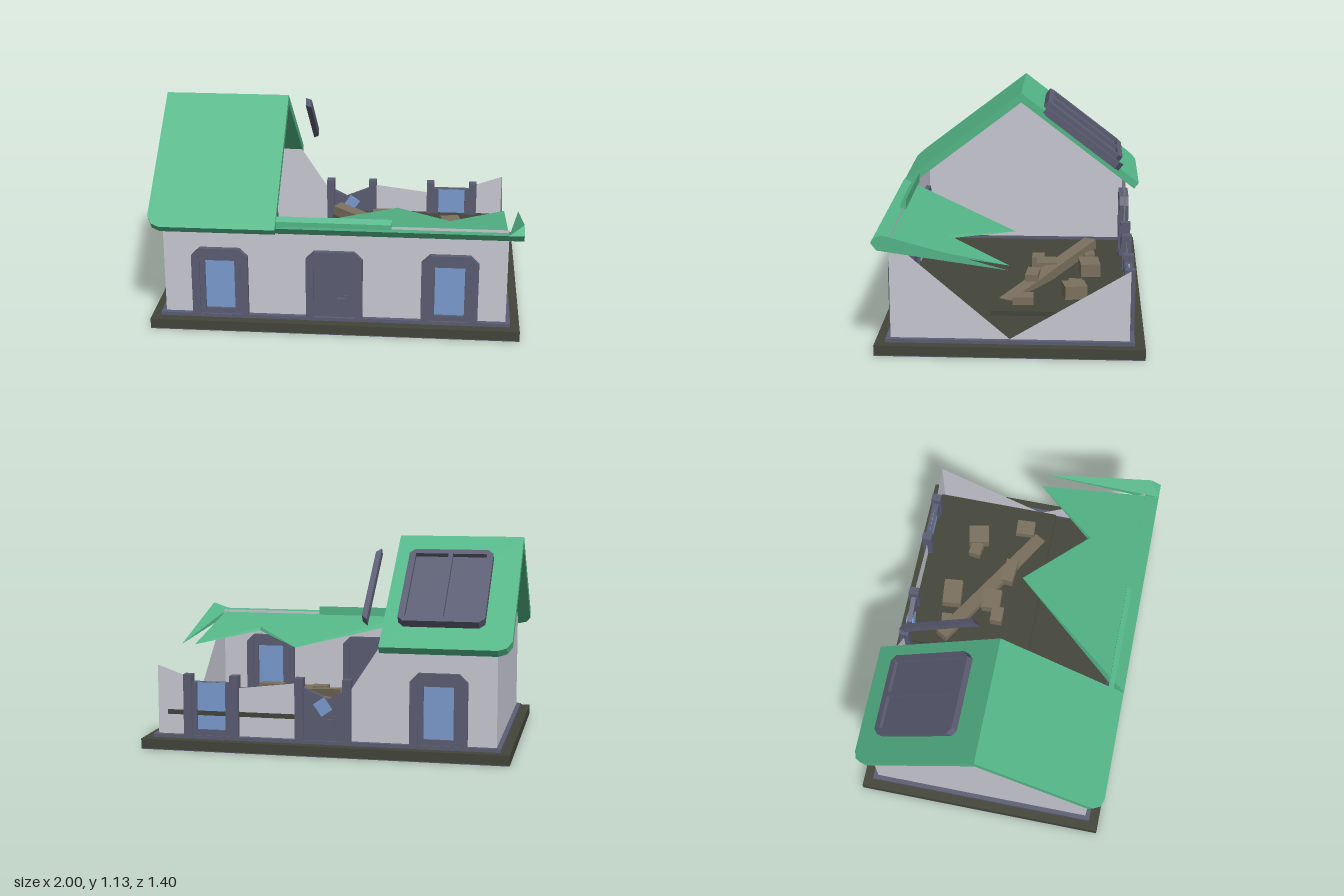
import * as THREE from 'three';
import { ConvexGeometry } from 'three/addons/geometries/ConvexGeometry.js';

export function createModel() {
  const mat = (name, color, side = THREE.FrontSide) => {
    const m = new THREE.MeshStandardMaterial({ color, side, flatShading: true });
    m.name = name;
    return m;
  };
  const wallMat = mat('wall grey', 0xc9c9d3, THREE.DoubleSide);
  const green = mat('roof green', 0x54b788, THREE.DoubleSide);
  const slate = mat('slate trim', 0x5b5d73);
  const olive = mat('dark olive', 0x43453a);
  const blue = mat('glass blue', 0x7b9cd0);
  const wood = mat('rubble brown', 0x7b705e);

  const model = new THREE.Group();
  const add = (parent, name, geo, m, x = 0, y = 0, z = 0) => {
    const mesh = new THREE.Mesh(geo, m);
    mesh.name = name;
    mesh.position.set(x, y, z);
    parent.add(mesh);
    return mesh;
  };
  const box = (parent, name, m, x0, x1, y0, y1, z0, z1) =>
    add(parent, name, new THREE.BoxGeometry(x1 - x0, y1 - y0, z1 - z0), m,
      (x0 + x1) / 2, (y0 + y1) / 2, (z0 + z1) / 2);
  const poly = (pts) => new THREE.Shape(pts.map(([x, y]) => new THREE.Vector2(x, y)));
  const rect = (x0, x1, y0, y1) => [[x0, y0], [x1, y0], [x1, y1], [x0, y1]];
  const extrude = (pts, depth, holes = []) => {
    const shape = poly(pts);
    shape.holes = holes.map((h) => poly(h));
    return new THREE.ExtrudeGeometry(shape, { depth, bevelEnabled: false });
  };
  const hull = (name, pts) =>
    add(model, name, new ConvexGeometry(pts.map((p) => new THREE.Vector3(...p))), green);

  // Base slab, its underside, floor plate and skirting
  box(model, 'baseSlab', olive, -1, 1, 0.004, 0.057, -0.7, 0.7);
  box(model, 'baseUnderside', slate, -1, 1, 0, 0.004, -0.7, 0.7);
  box(model, 'floatingFloor', olive, -0.11, 0.87, 0.185, 0.21, -0.627, 0.105);
  for (const s of [-1, 1]) {
    box(model, 'skirtingLong', slate, -0.95, 0.95, 0.057, 0.076, s * 0.633 - 0.013, s * 0.633 + 0.013);
    box(model, 'skirtingShort', slate, s * 0.937 - 0.013, s * 0.937 + 0.013, 0.057, 0.076, -0.62, 0.62);
  }

  // Thin walls: whole front and left gable, broken back and right
  const wall = (name, pts) => add(model, name, new THREE.ShapeGeometry(poly(pts)), wallMat);
  wall('frontWall', rect(-0.925, 0.925, 0.05, 0.61)).position.z = 0.62;
  wall('backWall', [[-0.925, 0.05], [0.925, 0.05], [0.925, 0.455], [0.77, 0.4], [0.72, 0.1],
    [0.51, 0.1], [0.47, 0.34], [0.14, 0.38], [0.1, 0.1], [-0.1, 0.1], [-0.14, 0.34],
    [-0.31, 0.6], [-0.925, 0.61]]).position.z = -0.62;
  const gable = wall('leftGable', [[-0.62, 0.05], [0.62, 0.05], [0.62, 0.615], [0, 1.085], [-0.62, 0.615]]);
  const right = wall('rightBrokenWall', [[-0.62, 0.05], [0.62, 0.05], [0.62, 0.455], [0, 0.077], [-0.62, 0.61]]);
  gable.rotation.y = right.rotation.y = Math.PI / 2;
  gable.position.x = -0.925;
  right.position.x = 0.925;

  // Facade groups: the back one is turned round, so its x runs the other way
  const front = new THREE.Group();
  front.name = 'frontOpenings';
  const back = new THREE.Group();
  back.name = 'backOpenings';
  back.rotation.y = Math.PI;
  model.add(front, back);

  const surround = (parent, name, x) => {
    const c = 0.045, w = 0.153, t = 0.46;
    add(parent, name, extrude([[-w, 0.057], [w, 0.057], [w, t - c], [w - c, t], [-w + c, t], [-w, t - c]],
      0.056, [rect(-0.11, 0.11, 0.075, 0.42)]), slate, x, 0, 0.592);
  };
  const brokenPosts = (parent, name, x) => {
    for (const s of [-1, 1]) {
      box(parent, name, slate, x + s * 0.13 - 0.023, x + s * 0.13 + 0.023, 0.057, 0.41, 0.592, 0.648);
    }
  };
  const windowAt = (parent, x, broken) => {
    if (broken) brokenPosts(parent, 'brokenWindowPost', x);
    else surround(parent, 'windowSurround', x);
    const top = broken ? 0.37 : 0.42;
    const outer = rect(-0.11, 0.11, 0.075, top);
    const hole = rect(-0.08, 0.08, 0.108, broken ? top - 0.001 : 0.39);
    add(parent, 'windowSash', extrude(outer, 0.036, [hole]), slate, x, 0, 0.602);
    box(parent, 'windowGlass', blue, x - 0.08, x + 0.08, 0.108, broken ? top : 0.39, 0.616, 0.625);
  };
  const handle = (parent) => {
    box(parent, 'handlePlate', slate, 0.045, 0.07, 0.15, 0.21, 0.63, 0.645);
    box(parent, 'handleLever', slate, 0.02, 0.065, 0.175, 0.197, 0.645, 0.66);
  };
  windowAt(front, -0.62, false);
  windowAt(front, 0.62, false);
  surround(front, 'doorSurround', 0);
  box(front, 'frontDoor', slate, -0.11, 0.11, 0.06, 0.42, 0.606, 0.634);
  handle(front);
  windowAt(back, 0.62, false);
  windowAt(back, -0.62, true);

  // Broken back door with a tilted glass shard
  brokenPosts(back, 'brokenDoorPost', 0);
  add(back, 'brokenDoor', extrude([[-0.11, 0.06], [0.11, 0.06], [0.11, 0.34], [0.03, 0.3], [-0.11, 0.36]], 0.028),
    slate, 0, 0, 0.606);
  handle(back);
  for (const z of [0.602, 0.638]) {
    add(back, 'glassShard', new THREE.BoxGeometry(0.07, 0.08, 0.008), blue, 0, 0.26, z).rotation.z = 0.6;
  }

  // Roof slopes: local origin on the ridge, y up the slope, z outward
  const pitch = Math.atan2(0.535, 0.7);
  const slope = (name, turned) => {
    const turn = new THREE.Group();
    turn.name = name;
    turn.rotation.y = turned ? Math.PI : 0;
    const plane = new THREE.Group();
    plane.position.y = 1.135;
    plane.rotation.x = pitch - Math.PI / 2;
    turn.add(plane);
    model.add(turn);
    return plane;
  };
  const L = 0.881, c = 0.07;
  const frontSlope = slope('frontRoof', false), backSlope = slope('backRoof', true);
  add(frontSlope, 'frontRoofSlab', extrude([[-1, 0], [-1, -L + c], [-0.975, -L + 0.02], [-0.93, -L],
    [-0.31, -L], [-0.31, 0]], 0.044), green, 0, 0, -0.044);
  add(backSlope, 'backRoofSlab', extrude([[1, 0], [0.31, 0], [0.31, -L], [0.93, -L],
    [0.975, -L + 0.02], [1, -L + c]], 0.044), green, 0, 0, -0.044);

  // Skylight with two panes, and the leftover edge of a second one
  const a = 0.03, y0 = -0.725, y1 = -0.164;
  add(backSlope, 'skylightFrame', extrude([[0.39, y0 + a], [0.39 + a, y0], [0.85 - a, y0], [0.85, y0 + a],
    [0.85, y1 - a], [0.85 - a, y1], [0.39 + a, y1], [0.39, y1 - a]], 0.046,
  [rect(0.425, 0.605, y0 + 0.035, y1 - 0.035), rect(0.63, 0.815, y0 + 0.035, y1 - 0.035)]), slate);
  box(backSlope, 'skylightPanes', slate, 0.42, 0.82, y0 + 0.03, y1 - 0.03, 0.002, 0.022);
  add(backSlope, 'skylightRemnant', extrude([[0.2, y0 + a], [0.23, y0], [0.23, y1], [0.2, y1 - a]], 0.046), slate);

  // Collapsed front roof: wedges that run from the eave to sagging points
  const wedge = (name, x0, x1, tipX) => hull(name, [
    [x0, 0.61, 0.7], [x1, 0.61, 0.7], [x0, 0.57, 0.67], [x1, 0.57, 0.67], [tipX, 0.475, 0]]);
  wedge('collapsedRoofLarge', -0.31, 0.92, 0.31);
  wedge('collapsedRoofSmall', 0.3, 0.92, 0.92);
  hull('collapsedRoofSliver', [[0.92, 0.61, 0.7], [1, 0.61, 0.7], [0.92, 0.57, 0.67], [1, 0.57, 0.67],
    [1, 0.65, 0.64], [1, 0.475, 0]]);
  hull('eaveRemnant', [-0.31, 0.305].flatMap((x) => [
    [x, 0.58, 0.64], [x, 0.625, 0.64], [x, 0.645, 0.61], [x, 0.59, 0.61]]));

  // Fallen beam and rubble: x, z, width, depth, centre height, turn
  const beam = add(model, 'fallenBeam', new THREE.BoxGeometry(0.9, 0.055, 0.075), wood, 0.31, 0.242, -0.19);
  beam.rotation.set(0, -0.53, -0.12, 'YZX');
  const rubble = [
    [0.22, -0.41, 0.15, 0.11, 0.245, 0.1], [0.62, -0.33, 0.11, 0.12, 0.245, 0.2],
    [0.53, -0.33, 0.08, 0.07, 0.23, -0.15], [0.04, -0.41, 0.08, 0.06, 0.235, 0.1],
    [0.13, -0.12, 0.09, 0.07, 0.245, 0], [0.22, -0.17, 0.12, 0.11, 0.245, 0.05],
    [0.42, -0.1, 0.14, 0.07, 0.245, -0.08], [0.73, -0.06, 0.09, 0.11, 0.215, 0.06],
  ];
  for (const [x, z, w, d, y, r] of rubble) {
    add(model, 'rubbleBlock', new THREE.BoxGeometry(w, 0.075, d), wood, x, y, z).rotation.y = r;
  }
  return model;
}
